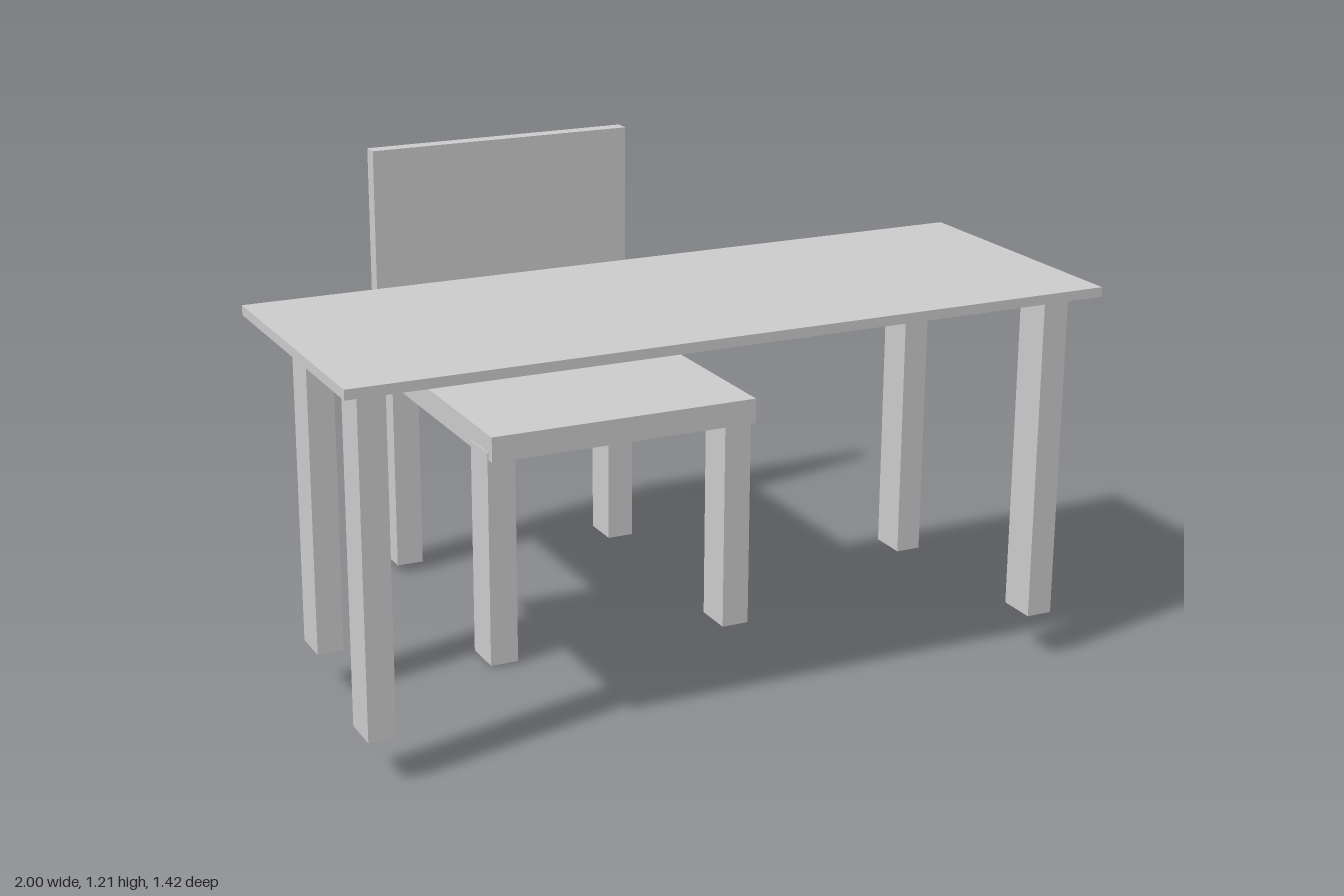
import * as THREE from 'three';

const material = new THREE.MeshStandardMaterial({ color: 0xcccccc, flatShading: true });

// Box given by its [min, max] extent along each axis
function slab(parent, name, [x0, x1], [y0, y1], [z0, z1]) {
  const mesh = new THREE.Mesh(new THREE.BoxGeometry(x1 - x0, y1 - y0, z1 - z0), material);
  mesh.position.set((x0 + x1) / 2, (y0 + y1) / 2, (z0 + z1) / 2);
  mesh.name = name;
  parent.add(mesh);
}

// Legs listed as [name, left edge x, foot y, front z], all of one section
function legs(parent, list, width, depth, top) {
  for (const [name, x, y, z] of list) {
    slab(parent, name, [x, x + width], [y, top], [z - depth, z]);
  }
}

export function createModel() {
  const model = new THREE.Group();
  model.name = 'deskAndChair';

  // Table: thin top on four slightly uneven legs
  const table = new THREE.Group();
  table.name = 'table';
  slab(table, 'tableTop', [-1, 1], [0.975, 1], [-0.045, 0.71]);
  legs(table, [
    ['tableFrontRightLeg', -0.953, 0.118, 0.655],
    ['tableFrontLeftLeg', 0.848, 0.126, 0.685],
    ['tableBackRightLeg', -0.898, 0.12, 0.125],
    ['tableBackLeftLeg', 0.807, 0.108, 0.103],
  ], 0.069, 0.105, 0.976);

  // Chair: seat, upright back panel and four legs, tucked under the table
  const chair = new THREE.Group();
  chair.name = 'chair';
  slab(chair, 'seat', [-0.43, 0.322], [0.57, 0.638], [-0.7, 0.155]);
  slab(chair, 'backrest', [-0.433, 0.327], [0.642, 1.21], [-0.708, -0.664]);
  legs(chair, [
    ['chairFrontRightLeg', -0.433, 0.005, 0.132],
    ['chairFrontLeftLeg', 0.236, 0, 0.147],
    ['chairBackRightLeg', -0.423, 0.024, -0.59],
    ['chairBackLeftLeg', 0.239, 0, -0.59],
  ], 0.076, 0.113, 0.59);

  model.add(table, chair);
  return model;
}
